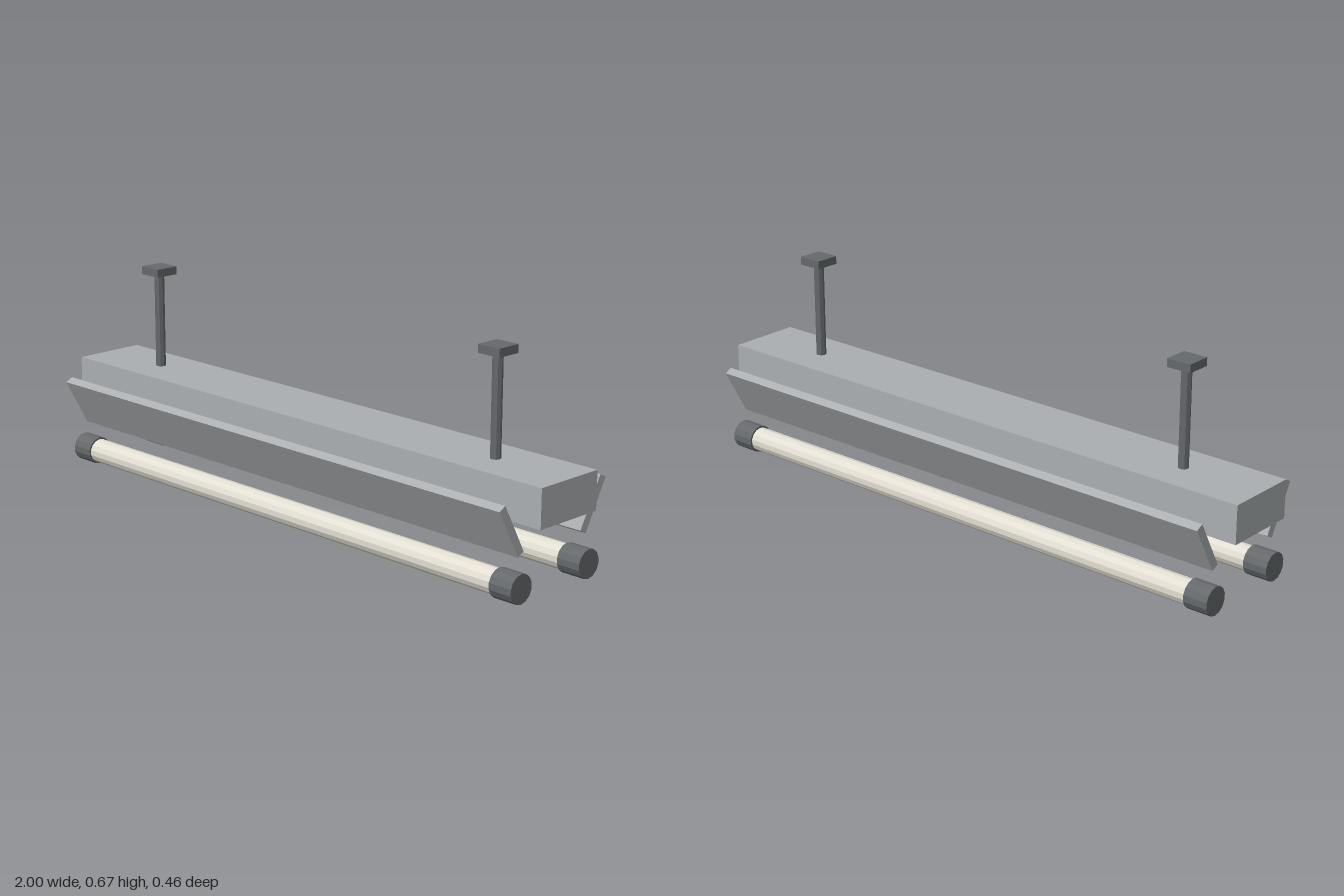
import * as THREE from 'three';

export function createModel() {
  const paint = (name, color) => {
    const m = new THREE.MeshStandardMaterial({ color, flatShading: true });
    m.name = name;
    return m;
  };
  const lightMetal = paint('light grey metal', 0xaaaeb1);
  const darkMetal = paint('dark grey metal', 0x65696c);
  const warmGlass = paint('warm white glass', 0xe2ded2);

  const model = new THREE.Group();
  model.name = 'hangingTubeLight';

  const add = (name, geometry, material, x, y, z) => {
    const mesh = new THREE.Mesh(geometry, material);
    mesh.name = name;
    mesh.position.set(x, y, z);
    model.add(mesh);
    return mesh;
  };
  // cylinder lying along x, with a corner at its top and bottom
  const lying = (radius, length) =>
    new THREE.CylinderGeometry(radius, radius, length, 14)
      .rotateY(Math.PI / 2).rotateZ(Math.PI / 2);

  // housing
  add('housing', new THREE.BoxGeometry(2, 0.12, 0.24), lightMetal, 0, 0.28, 0);

  // hanging rods and ceiling plates
  const rod = new THREE.CylinderGeometry(0.016, 0.016, 0.316, 8);
  const plate = new THREE.BoxGeometry(0.08, 0.026, 0.08);
  for (const side of [1, -1]) {
    const label = side > 0 ? 'left' : 'right';
    add(label + 'Rod', rod, darkMetal, side * 0.73, 0.492, 0);
    add(label + 'CeilingPlate', plate, darkMetal, side * 0.73, 0.66, 0);
  }

  // slanted reflectors, tubes and end caps on the front and back
  const reflector = new THREE.BoxGeometry(1.89, 0.171, 0.027);
  const tube = lying(0.039, 1.78);
  const cap = lying(0.045, 0.08);
  for (const side of [1, -1]) {
    const label = side > 0 ? 'front' : 'back';
    add(label + 'Reflector', reflector, lightMetal, 0, 0.215, side * 0.176)
      .rotation.x = side * 0.5;
    add(label + 'Tube', tube, warmGlass, 0, 0.045, side * 0.147);
    for (const end of [1, -1]) {
      add(label + (end > 0 ? 'Left' : 'Right') + 'EndCap', cap, darkMetal,
        end * 0.92, 0.045, side * 0.147);
    }
  }
  return model;
}
